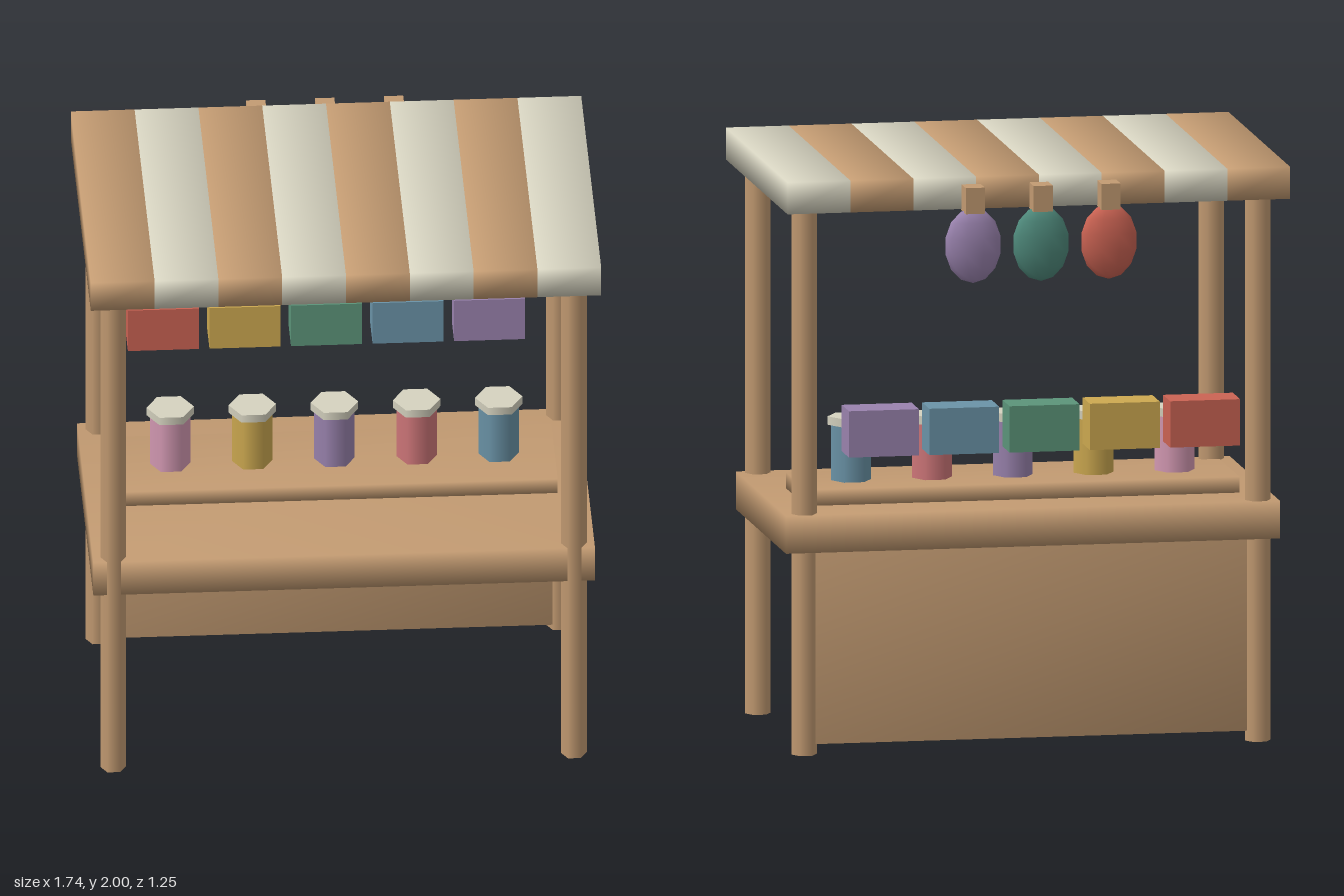
import * as THREE from 'three';
import { mergeVertices } from 'three/addons/utils/BufferGeometryUtils.js';

const paint = (name, color) => new THREE.MeshStandardMaterial({ name, color });

export function createModel() {
  const stall = new THREE.Group();
  stall.name = 'marketStall';

  const wood = paint('wood', 0xc39b72);
  const cream = paint('cream', 0xd6d3c0);
  const red = paint('red', 0xcb6353);
  const yellow = paint('yellow', 0xcda950);
  const green = paint('green', 0x5c957a);
  const teal = paint('teal', 0x4f8a7c);
  const blue = paint('blue', 0x6b94a8);
  const purple = paint('purple', 0x9a83ae);
  const pink = paint('pink', 0xd59ab4);
  const salmon = paint('salmon', 0xd0777a);

  const add = (name, geometry, material, x, y, z) => {
    const mesh = new THREE.Mesh(geometry, material);
    mesh.name = name;
    mesh.position.set(x, y, z);
    stall.add(mesh);
    return mesh;
  };

  // Box given by its limits; soft boxes share normals across their edges
  const box = (name, material, [x0, x1], [y0, y1], [z0, z1], soft = true) => {
    let g = new THREE.BoxGeometry(x1 - x0, y1 - y0, z1 - z0);
    if (soft) {
      g.deleteAttribute('uv');
      g.deleteAttribute('normal');
      g = mergeVertices(g);
      g.computeVertexNormals();
    }
    return add(name, g, material, (x0 + x1) / 2, (y0 + y1) / 2, (z0 + z1) / 2);
  };

  // Six-sided column with corners on the x axis
  const column = (name, material, r, x, y0, y1, z) => {
    const g = new THREE.CylinderGeometry(r, r, y1 - y0, 6);
    g.rotateY(Math.PI / 2);
    return add(name, g, material, x, (y0 + y1) / 2, z);
  };

  // Four corner posts
  for (const x of [-0.785, 0.785]) {
    column('frontPost', wood, 0.044, x, 0, 1.91, 0.485);
    column('backPost', wood, 0.044, x, 0, 1.91, -0.37);
  }

  // Counter, raised shelf and back panel
  box('counter', wood, [-0.855, 0.855], [0.7, 0.83], [-0.41, 0.52]);
  box('shelf', wood, [-0.75, 0.75], [0.83, 0.885], [-0.22, 0.15]);
  box('backPanel', wood, [-0.76, 0.76], [0.035, 0.71], [-0.38, -0.31]);

  // Striped awning
  const stripe = 1.74 / 8;
  for (let i = 0; i < 8; i++) {
    const x = -0.87 + i * stripe;
    box('awningStripe', i % 2 ? cream : wood, [x, x + stripe], [1.89, 2], [-0.52, 0.625]);
  }

  // Jars with lids on the shelf
  [pink, yellow, purple, salmon, blue].forEach((material, i) => {
    const x = (i - 2) * 0.28;
    column('jar', material, 0.069, x, 0.885, 1.08, -0.036);
    column('jarLid', cream, 0.081, x, 1.077, 1.106, -0.036);
  });

  // Row of coloured blocks behind the stall
  [red, yellow, green, blue, purple].forEach((material, i) => {
    const x = (i - 2) * 0.278;
    box('block', material, [x - 0.121, x + 0.121], [1.062, 1.222], [-0.625, -0.49], false);
  });

  // Hanging lanterns on brackets at the back of the awning
  [red, teal, purple].forEach((material, i) => {
    const x = (i - 1) * 0.235;
    const lantern = add('lantern', new THREE.SphereGeometry(1, 10, 7), material, x, 1.77, -0.558);
    lantern.scale.set(0.098, 0.13, 0.044);
    box('lanternBracket', wood, [x - 0.033, x + 0.033], [1.885, 1.975], [-0.6, -0.515], false);
  });

  return stall;
}
